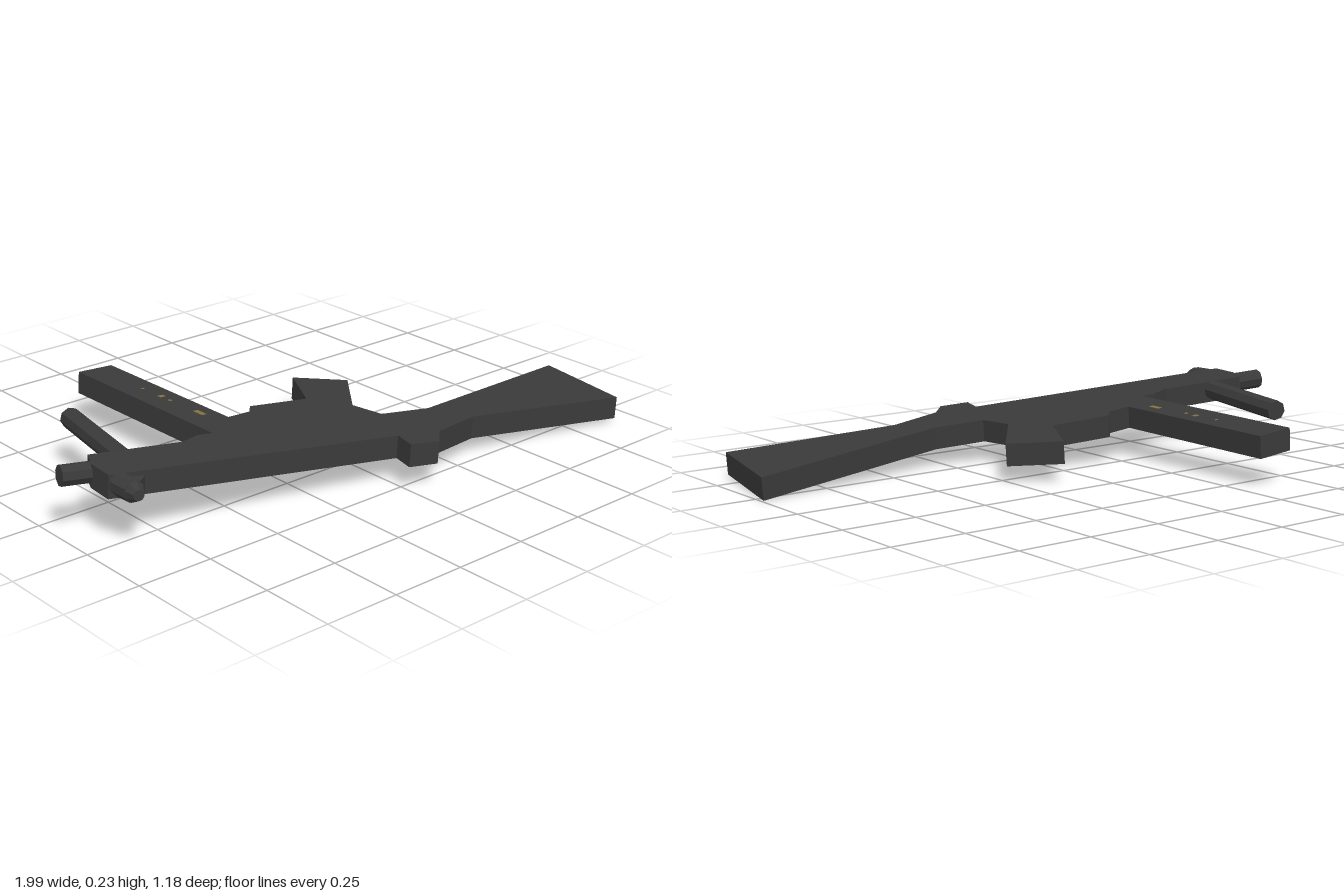
import * as THREE from 'three';

const THICK = 0.074;

export function createModel() {
  const gunmetal = new THREE.MeshStandardMaterial({ color: 0x3a3a3a, flatShading: true });
  gunmetal.name = 'dark gunmetal';
  const brass = new THREE.MeshStandardMaterial({ color: 0x86713f });
  brass.name = 'brass';

  const model = new THREE.Group();
  model.name = 'model';
  // Everything lies in one plane, resting at a slight slope
  const lying = new THREE.Group();
  lying.name = 'lyingBody';
  lying.position.y = 0.115;
  lying.rotation.set(-0.012, 0, -0.078);
  model.add(lying);

  const add = (name, geometry, material = gunmetal) => {
    const mesh = new THREE.Mesh(geometry, material);
    mesh.name = name;
    lying.add(mesh);
    return mesh;
  };

  // Flat slab from an outline of [x, z] points
  const slab = (name, points, depth = THICK, lift = 0) => {
    const shape = new THREE.Shape(points.map(([x, z]) => new THREE.Vector2(x, -z)));
    const geo = new THREE.ExtrudeGeometry(shape, { depth, bevelEnabled: false });
    geo.translate(0, 0, lift - depth / 2).rotateX(-Math.PI / 2);
    return add(name, geo);
  };

  // Faceted rod between two [x, z] points
  const rod = (name, from, to, r0, r1, lift) => {
    const a = new THREE.Vector3(from[0], lift, from[1]);
    const b = new THREE.Vector3(to[0], lift, to[1]);
    const dir = b.clone().sub(a);
    const geo = new THREE.CylinderGeometry(r1, r0, dir.length(), 8);
    geo.rotateY(Math.PI / 8);
    const mesh = add(name, geo);
    mesh.position.copy(a).add(b).multiplyScalar(0.5);
    mesh.quaternion.setFromUnitVectors(new THREE.Vector3(0, 1, 0), dir.normalize());
  };

  slab('receiver', [
    [-0.92, 0.25], [-0.91, 0.15], [-0.875, 0.08], [-0.74, 0.108], [-0.575, 0.143],
    [-0.5, 0.12], [-0.45, 0.13], [-0.315, 0.04], [-0.225, 0.035], [-0.19, -0.005],
    [0.015, 0.035], [0.1, 0.165], [0.12, 0.28], [0.02, 0.46],
  ]);
  slab('stock', [
    [0.02, 0.46], [0.12, 0.28], [0.29, 0.32], [0.997, 0.215], [0.92, 0.585],
    [0.355, 0.46], [0.16, 0.5],
  ]);
  slab('rearSight', [[0.02, 0.46], [0.16, 0.5], [0.095, 0.565], [-0.003, 0.54]]);
  slab('pistolGrip', [[0.015, 0.035], [0.125, -0.16], [0.265, -0.04], [0.1, 0.165]]);
  slab('magazine', [[-0.45, 0.13], [-0.45, -0.587], [-0.315, -0.592], [-0.315, 0.04]]);

  rod('barrel', [-0.89, 0.134], [-0.993, 0.11], 0.033, 0.033, 0.005);
  rod('foregrip', [-0.769, 0.13], [-0.682, -0.295], 0.034, 0.034, 0.005);

  // Front sight: faceted post on a low wedge
  rod('frontSightPost', [-0.885, 0.24], [-0.885, 0.325], 0.036, 0.034, 0.004);
  rod('frontSightTip', [-0.885, 0.325], [-0.891, 0.358], 0.034, 0.018, 0.004);
  slab('frontSightWedge', [[-0.92, 0.25], [-0.81, 0.276], [-0.86, 0.315]], 0.045);

  // Brass specks where rounds show through the magazine
  for (const [x, z, w, d] of [
    [-0.374, -0.33, 0.012, 0.006], [-0.37, -0.235, 0.02, 0.016],
    [-0.372, -0.187, 0.012, 0.01], [-0.366, -0.04, 0.018, 0.045],
  ]) {
    add('brassSpeck', new THREE.BoxGeometry(w, 0.002, d), brass).position.set(x, THICK / 2 + 0.0005, z);
  }
  return model;
}
